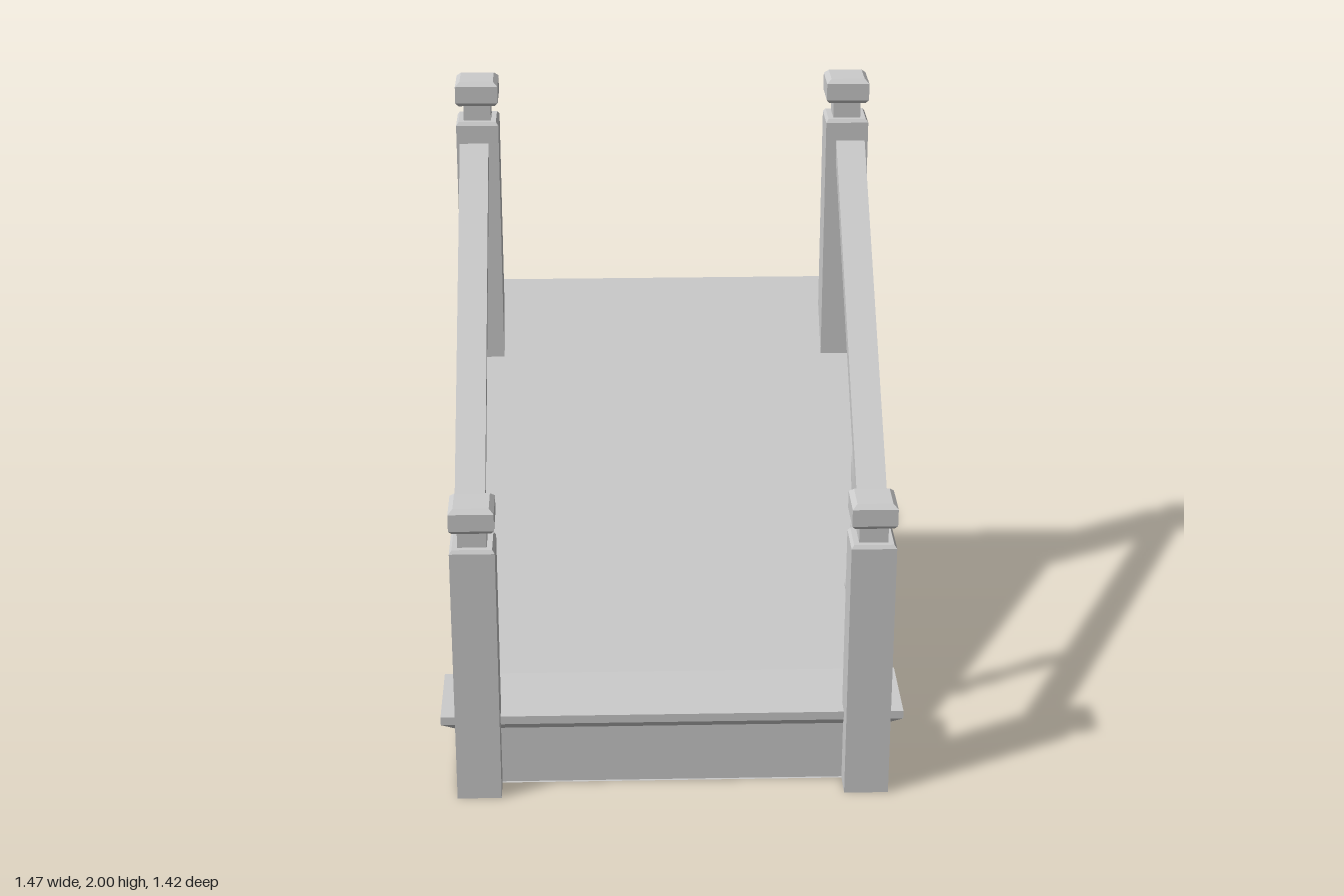
import * as THREE from 'three';

const grey = new THREE.MeshStandardMaterial({ color: 0xcccccc });
grey.name = 'plain grey';

function add(parent, geometry, name, x = 0, y = 0, z = 0) {
  const mesh = new THREE.Mesh(geometry, grey);
  mesh.name = name;
  mesh.position.set(x, y, z);
  parent.add(mesh);
  return mesh;
}

// Prism with a (z, y) profile, centred on x
function sideExtrude(points, width) {
  const shape = new THREE.Shape(points.map(([z, y]) => new THREE.Vector2(-z, y)));
  const g = new THREE.ExtrudeGeometry(shape, { depth: width, bevelEnabled: false });
  g.translate(0, 0, -width / 2);
  g.rotateY(Math.PI / 2);
  return g;
}

// Square turned post: [half width, height] rings from bottom to top
function squareLoft(rings) {
  const pts = rings.map(([w, y]) => new THREE.Vector2(w * Math.SQRT2, y));
  const g = new THREE.LatheGeometry(pts, 4).rotateY(Math.PI / 4).toNonIndexed();
  g.computeVertexNormals();
  return g;
}

function newelPost(bottom, top) {
  return squareLoft([
    [0, bottom], [0.07, bottom], [0.07, top - 0.147], [0.062, top - 0.136], [0.045, top - 0.136],
    [0.045, top - 0.082], [0.06, top - 0.082], [0.07, top - 0.07], [0.07, top - 0.014],
    [0.055, top], [0, top],
  ]);
}

// Tread with a chamfered underside
function treadGeometry() {
  const rings = [[0.69, 0.612, 0.2], [0.735, 0.628, 0.222], [0.735, 0.628, 0.25]];
  const back = 0.345;
  const pos = [];
  const quad = (a, b, c, d) => pos.push(...a, ...b, ...c, ...a, ...c, ...d);
  const corners = rings.map(([x, z, y]) => [[-x, y, z], [x, y, z], [x, y, back], [-x, y, back]]);
  for (let r = 0; r < 2; r++) {
    for (let i = 0; i < 4; i++) {
      const j = (i + 1) % 4;
      quad(corners[r][i], corners[r][j], corners[r + 1][j], corners[r + 1][i]);
    }
  }
  quad(...corners[2]);
  quad(...[...corners[0]].reverse());
  const g = new THREE.BufferGeometry();
  g.setAttribute('position', new THREE.Float32BufferAttribute(pos, 3));
  g.computeVertexNormals();
  return g;
}

// Turned spindle outline
function balusterGeometry() {
  const outline = [
    [0.02, 0.458], [0.036, 0.472], [0.043, 0.497], [0.039, 0.525], [0.029, 0.548], [0.029, 0.58],
    [0.034, 0.65], [0.031, 0.71], [0.025, 0.75], [0.028, 0.775], [0.026, 0.8], [0.031, 0.86],
    [0.034, 0.93], [0.029, 0.99], [0.019, 1.03], [0.026, 1.055], [0.027, 1.08], [0.02, 1.105], [0.02, 1.14],
  ].map(([r, y]) => new THREE.Vector3(r, y, 0));
  const smooth = new THREE.CatmullRomCurve3(outline).getPoints(48).map((p) => new THREE.Vector2(p.x, p.y));
  return new THREE.LatheGeometry([new THREE.Vector2(0, 0.458), ...smooth], 24);
}

export function createModel() {
  const model = new THREE.Group();
  model.name = 'staircase';

  // Sloped body and bottom step
  add(model, sideExtrude([[0.615, 0], [-0.708, 0], [-0.708, 1.23]], 1.384), 'slopedBody');
  add(model, new THREE.BoxGeometry(1.38, 0.2, 0.262), 'bottomRiser', 0, 0.1, 0.481);
  add(model, treadGeometry(), 'bottomTread');

  // Railing on each side
  const frontPost = newelPost(0, 1.01);
  const backPost = newelPost(0.95, 2);
  const rail = sideExtrude([[0.575, 0.803], [0.575, 0.869], [-0.495, 1.796], [-0.495, 1.73]], 0.095);
  const baluster = balusterGeometry();
  for (const [side, s] of [['left', 1], ['right', -1]]) {
    const railing = new THREE.Group();
    railing.name = side + 'Railing';
    add(railing, frontPost, 'frontPost', s * 0.615, 0, 0.638);
    add(railing, backPost, 'backPost', s * 0.615, 0, -0.56);
    add(railing, rail, 'handrail', s * 0.627);
    add(railing, baluster, 'baluster', s * 0.62, 0, 0.228);
    model.add(railing);
  }
  return model;
}
